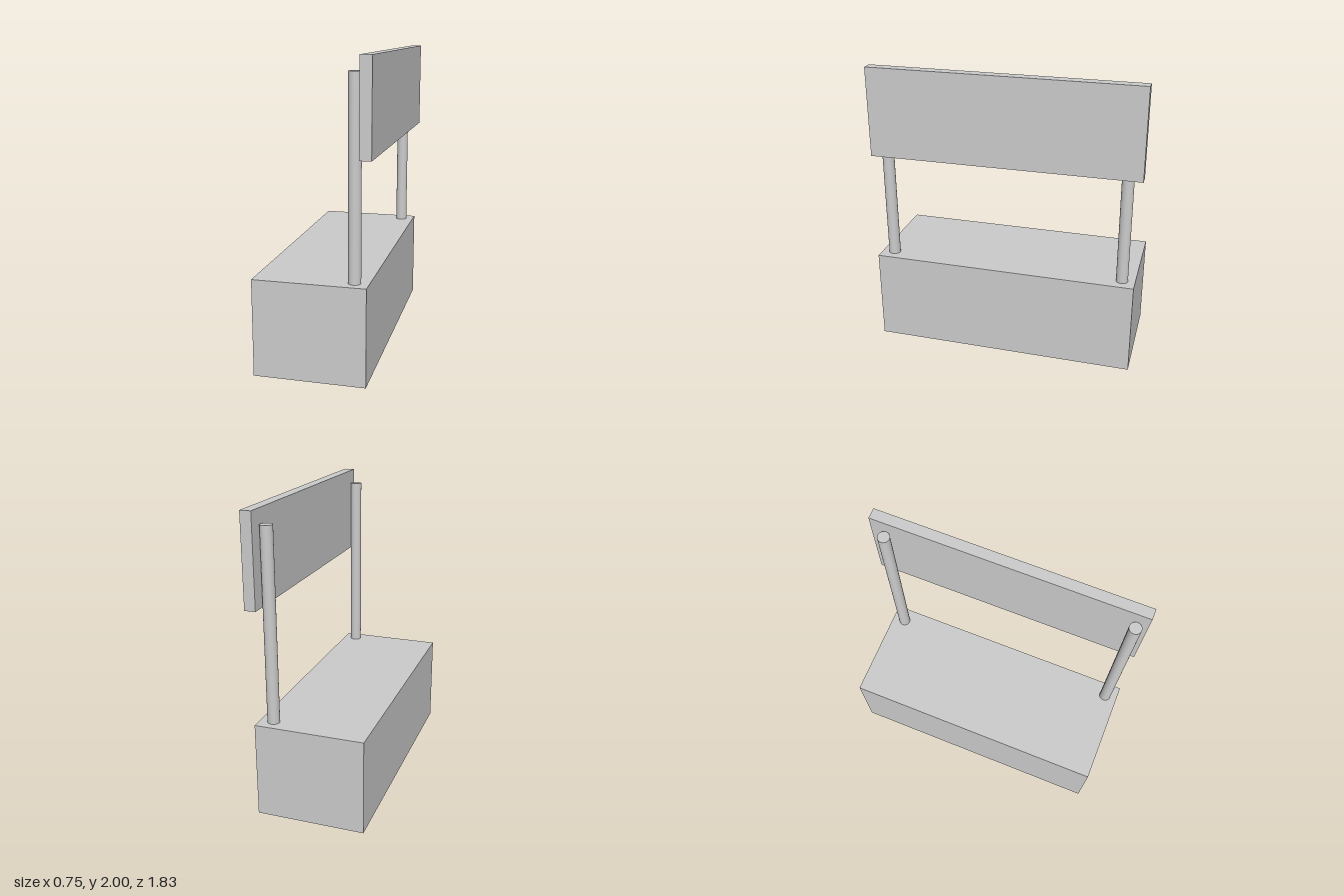
import * as THREE from 'three';

const material = new THREE.MeshStandardMaterial({ color: 0xcccccc });

// Adds a box given its min and max corners
function addBox(group, name, min, max) {
  const size = max.map((v, i) => v - min[i]);
  const mesh = new THREE.Mesh(new THREE.BoxGeometry(...size), material);
  mesh.position.set(...max.map((v, i) => (v + min[i]) / 2));
  mesh.name = name;
  group.add(mesh);
}

export function createModel() {
  const group = new THREE.Group();
  group.name = 'marketStall';

  // Counter block and the sign board above it
  addBox(group, 'counter', [-0.373, 0, -0.897], [0.35, 0.636, 0.914]);
  addBox(group, 'signBoard', [0.3, 1.398, -0.914], [0.373, 2, 0.897]);

  // Two round posts carrying the sign
  const bottom = 0.636, top = 1.906;
  const postGeometry = new THREE.CylinderGeometry(0.04, 0.04, top - bottom, 32);
  for (const [name, z] of [['frontPost', 0.826], ['backPost', -0.808]]) {
    const post = new THREE.Mesh(postGeometry, material);
    post.name = name;
    post.position.set(0.258, (top + bottom) / 2, z);
    group.add(post);
  }

  return group;
}
